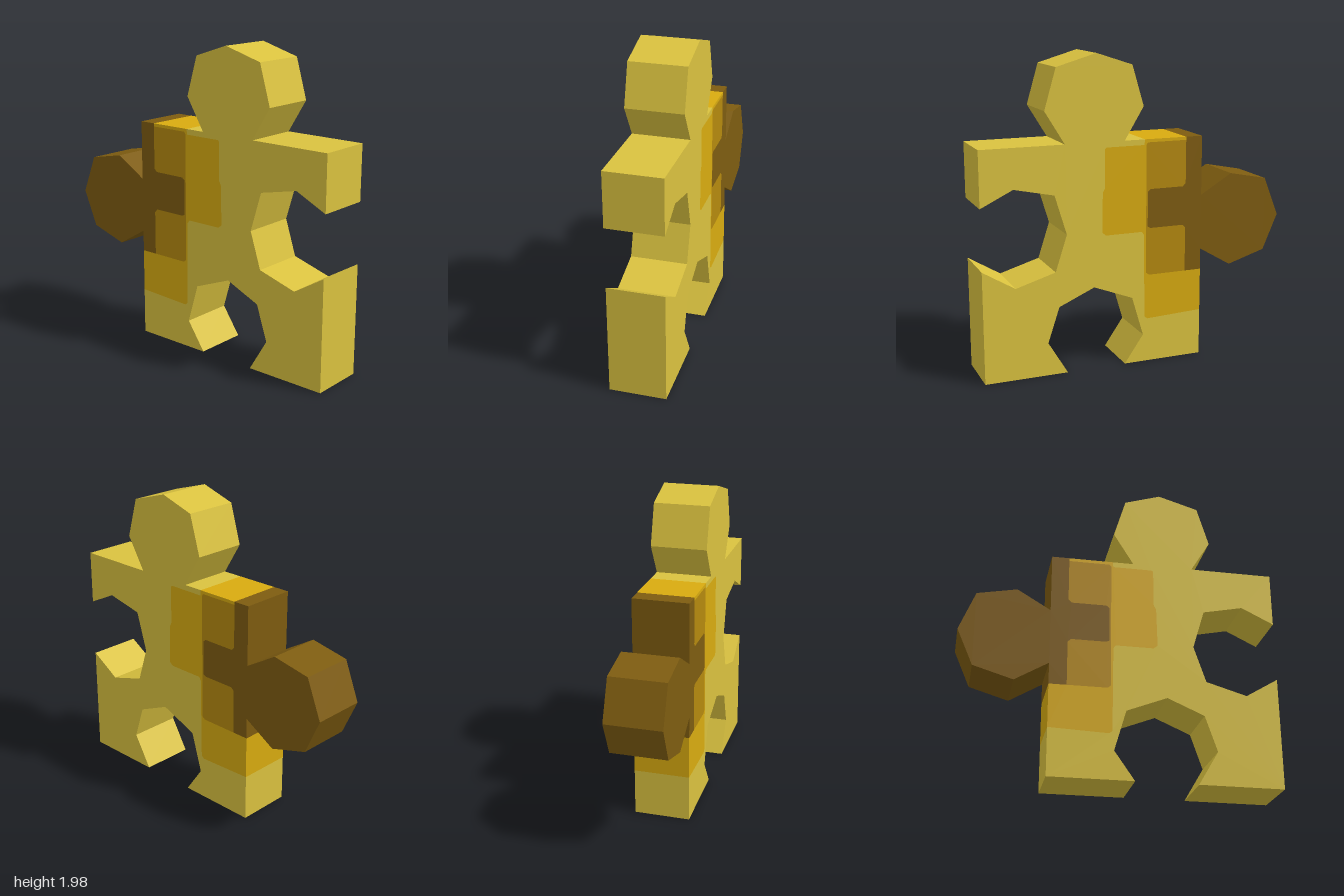
import * as THREE from 'three';

const HALF = 0.177; // half thickness of the piece
const TOP = 1.445;

// Borders between neighbouring colours, shared so that the regions fit together exactly
const darkToMid = [[-0.33, 0.575], [-0.33, 0.86], [-0.31, 0.88], [-0.09, 0.88], [-0.07, 0.89],
  [-0.07, 1.115], [-0.09, 1.13], [-0.31, 1.13], [-0.33, 1.15], [-0.33, 1.425]];
const midToAmber = [[-0.33, 0.575], [-0.08, 0.575], [-0.06, 0.59], [-0.06, 0.86],
  [-0.058, 1.41], [-0.07, 1.425], [-0.33, 1.425]];
const amberToYellow = [[-0.44, 0.3], [-0.07, 0.285], [-0.05, 0.3], [-0.045, 0.84], [-0.03, 0.86],
  [0.21, 0.86], [0.235, 0.88], [0.23, 1.13], [0.215, 1.16], [0.215, 1.4], [0.205, 1.41],
  [-0.045, 1.41], [-0.05, TOP]];
const reversed = (points) => [...points].reverse();

// Counter-clockwise outlines of the coloured regions
const regions = [
  { name: 'darkTabAndEdge', material: 'darkBrown', color: 0x7e5c10, points: [
    [-0.33, TOP], [-0.44, TOP], [-0.44, 1.065], [-0.65, 1.19], [-0.9, 1.14], [-1, 0.89],
    [-0.9, 0.66], [-0.65, 0.585], [-0.44, 0.71], [-0.44, 0.575], ...darkToMid] },
  { name: 'brownPatch', material: 'goldenBrown', color: 0xb5890e, points: [
    ...reversed(darkToMid), ...midToAmber.slice(1, -1)] },
  { name: 'amberPatch', material: 'amber', color: 0xd8ab10, points: [
    [-0.33, TOP], ...reversed(midToAmber), [-0.44, 0.575], ...amberToYellow] },
  { name: 'puzzleBody', material: 'mustardYellow', color: 0xdac23f, points: [
    ...reversed(amberToYellow), [-0.44, 0],
    // bottom socket
    [0.085, 0], [-0.04, 0.18], [0.035, 0.435], [0.29, 0.535], [0.52, 0.435], [0.595, 0.21], [0.47, 0],
    // side socket
    [1, 0], [1, 0.71], [0.795, 0.585], [0.54, 0.66], [0.465, 0.89], [0.54, 1.14], [0.795, 1.195],
    [1, 1.095], [1, TOP],
    // top tab
    [0.47, TOP], [0.595, 1.65], [0.52, 1.905], [0.265, 1.98], [0.035, 1.905], [-0.04, 1.65], [0.085, TOP]] },
];

const edgesOf = (points) => points.map((p, i) => [p, points[(i + 1) % points.length]]);

// Front and back faces of a region, plus walls on the edges that no other region shares
function regionGeometry(points, allEdges) {
  const positions = [];
  const add = (p, side) => positions.push(p[0], p[1], side * HALF);
  const contour = points.map(([x, y]) => new THREE.Vector2(x, y));
  for (const [a, b, c] of THREE.ShapeUtils.triangulateShape(contour, [])) {
    for (const i of [a, b, c]) add(points[i], 1);
    for (const i of [c, b, a]) add(points[i], -1);
  }
  for (const [a, b] of edgesOf(points)) {
    if (allEdges.has(`${b}>${a}`)) continue;
    add(a, 1); add(a, -1); add(b, -1);
    add(a, 1); add(b, -1); add(b, 1);
  }
  const geometry = new THREE.BufferGeometry();
  geometry.setAttribute('position', new THREE.Float32BufferAttribute(positions, 3));
  geometry.computeVertexNormals();
  return geometry;
}

export function createModel() {
  const model = new THREE.Group();
  model.name = 'puzzlePiece';
  const allEdges = new Set(regions.flatMap((r) => edgesOf(r.points).map(([a, b]) => `${a}>${b}`)));
  for (const region of regions) {
    const material = new THREE.MeshStandardMaterial({ color: region.color });
    material.name = region.material;
    const mesh = new THREE.Mesh(regionGeometry(region.points, allEdges), material);
    mesh.name = region.name;
    model.add(mesh);
  }
  return model;
}
